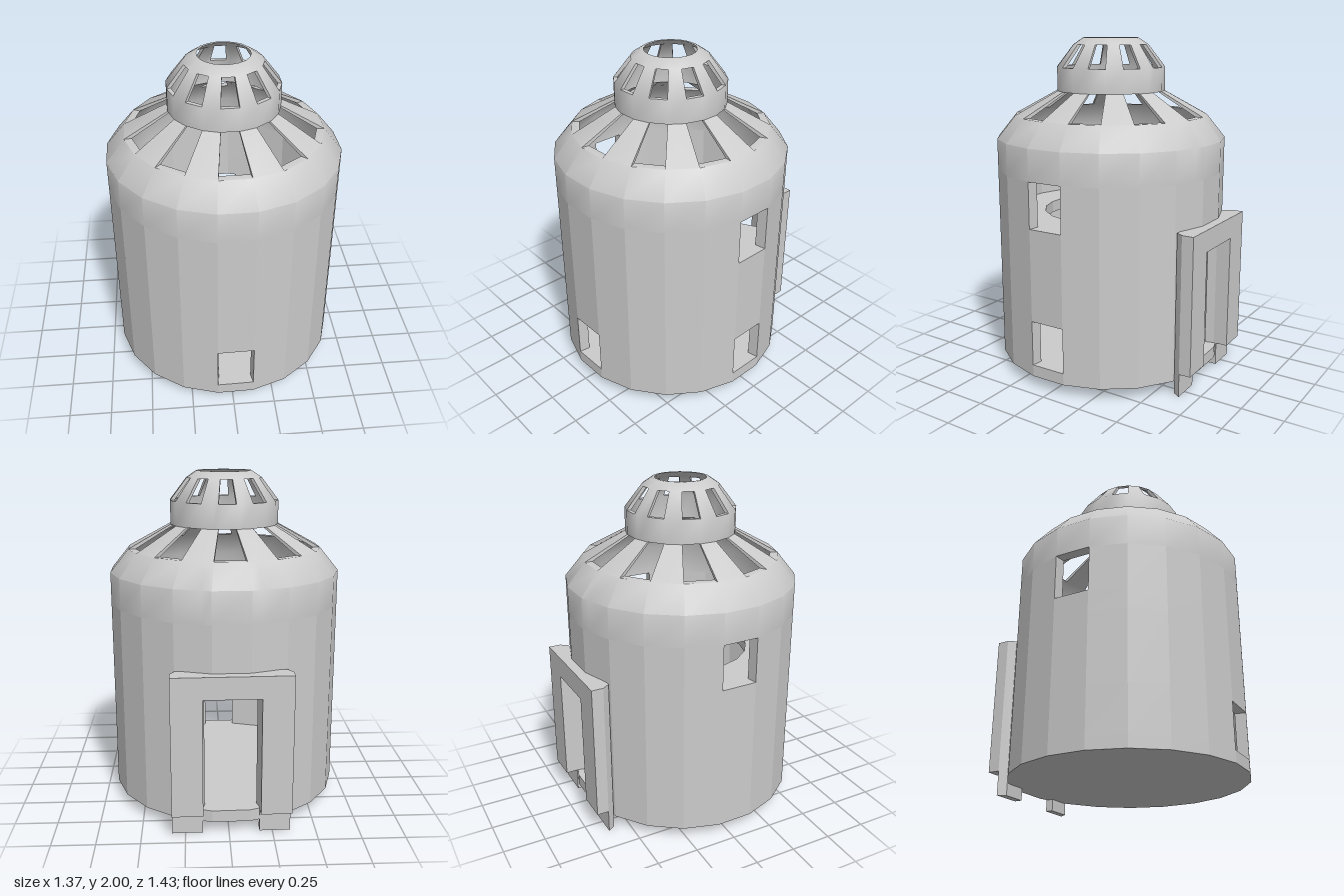
import * as THREE from 'three';
import { toCreasedNormals } from 'three/addons/utils/BufferGeometryUtils.js';

const RAD = Math.PI / 180;
const STEP = 18; // twenty-sided plan
const DOOR = 14; // half angle of the doorway
const material = new THREE.MeshStandardMaterial({ color: 0xcccccc });

function addMesh(parent, name, geometry) {
  const mesh = new THREE.Mesh(geometry, material);
  mesh.name = name;
  parent.add(mesh);
  return mesh;
}

// Point on the twenty-sided plan; azimuth runs from +z towards +x
function planPoint(az, r, y) {
  const panel = Math.round((az + 0.001) / STEP) * STEP;
  const d = r * Math.cos(9 * RAD) / Math.cos((az - panel) * RAD);
  return [d * Math.sin(az * RAD), y, d * Math.cos(az * RAD)];
}

// Panel edges, with extra cuts for the door jambs
const azimuths = [180 - DOOR, 180 + DOOR];
for (let i = 0; i < 20; i++) azimuths.push(9 + i * STEP);
azimuths.sort((a, b) => a - b);

// Thick wall from rows [y, outer radius, inner radius]; open cells become holes
function shell(rows, isOpen, crease) {
  const n = azimuths.length;
  const positions = [];
  const quad = (a, b, c, d) => positions.push(...a, ...b, ...c, ...a, ...c, ...d);
  const edge = (i) => azimuths[i % n] + (i >= n ? 360 : 0);
  const open = (i, j) => {
    if (j < 0 || j > rows.length - 2) return true;
    const k = (i + n) % n;
    const mid = (edge(k) + edge(k + 1)) / 2;
    return isOpen(mid % 360, (rows[j][0] + rows[j + 1][0]) / 2);
  };
  for (let i = 0; i < n; i++) {
    for (let j = 0; j < rows.length - 1; j++) {
      if (open(i, j)) continue;
      const p = (di, dj, side) => planPoint(edge(i + di), rows[j + dj][side], rows[j + dj][0]);
      const o00 = p(0, 0, 1), o10 = p(1, 0, 1), o11 = p(1, 1, 1), o01 = p(0, 1, 1);
      const i00 = p(0, 0, 2), i10 = p(1, 0, 2), i11 = p(1, 1, 2), i01 = p(0, 1, 2);
      quad(o00, o10, o11, o01);
      quad(i10, i00, i01, i11);
      if (open(i, j - 1)) quad(i00, i10, o10, o00);
      if (open(i, j + 1)) quad(o01, o11, i11, i01);
      if (open(i + 1, j)) quad(o10, i10, i11, o11);
      if (open(i - 1, j)) quad(i00, o00, o01, i01);
    }
  }
  const geometry = new THREE.BufferGeometry();
  geometry.setAttribute('position', new THREE.Float32BufferAttribute(positions, 3));
  geometry.computeVertexNormals();
  return crease ? toCreasedNormals(geometry, crease) : geometry;
}

// Upright prism from plan points [x, distance to the back]
function prism(points, y0, y1) {
  const shape = new THREE.Shape(points.map(([x, d]) => new THREE.Vector2(x, d)));
  const geometry = new THREE.ExtrudeGeometry(shape, { depth: y1 - y0, bevelEnabled: false });
  return geometry.rotateX(-Math.PI / 2).translate(0, y0, 0);
}

export function createModel() {
  const model = new THREE.Group();
  model.name = 'tower';
  const tower = new THREE.Group();
  tower.name = 'towerBody';
  tower.position.z = 0.03;
  tower.rotation.y = 0.02;
  model.add(tower);

  // Flat-panelled wall with windows and a doorway
  const R = 0.69, RI = 0.625;
  const near = (a, b) => Math.abs(a - b) < 1;
  const wallOpen = (az, y) => {
    const low = y > 0.14 && y < 0.41;
    const high = y > 0.96 && y < 1.23;
    if (near(az, 0)) return low;
    if (near(az, 90)) return low || high;
    if (near(az, 270)) return high;
    return Math.abs(az - 180) < DOOR && y > 0.14 && y < 0.83;
  };
  addMesh(tower, 'wall', shell([0.07, 0.14, 0.41, 0.83, 0.96, 1.23].map((y) => [y, R, RI]), wallOpen));

  // Shoulder, slotted roof and slotted lantern
  const roofRows = [
    [1.23, R, RI], [1.415, R, RI], [1.55, 0.58, 0.535], [1.69, 0.325, 0.3],
    [1.83, 0.325, 0.3], [1.96, 0.225, 0.2], [2, 0.165, 0.15],
  ];
  const roofOpen = (az, y) => {
    const slotRow = (y > 1.55 && y < 1.69) || (y > 1.83 && y < 1.96);
    return slotRow && Math.round(az / STEP) % 2 === 0;
  };
  addMesh(tower, 'roofAndLantern', shell(roofRows, roofOpen, 0.72));

  // Ground floor and the gallery, which is left open above the door
  const floor = new THREE.CylinderGeometry(0.635, 0.635, 0.07, 20).rotateY(9 * RAD).translate(0, 0.105, 0);
  addMesh(tower, 'groundFloor', toCreasedNormals(floor, 0.1));
  const galleryOpen = (az) => az > 117 && az < 243;
  addMesh(tower, 'gallery', shell([[0.89, 0.63, 0.41], [0.96, 0.63, 0.41]], galleryOpen));

  // Door surround at the back
  const portal = new THREE.Group();
  portal.name = 'doorSurround';
  tower.add(portal);
  const outline = [[0.34, 0.74], [0.34, 0.67], [0.31, 0.625]];
  const mirrored = outline.map(([x, d]) => [-x, d]).reverse();
  addMesh(portal, 'lintel', prism([...outline, ...mirrored], 0.83, 0.96));
  for (const s of [-1, 1]) {
    const side = (points) => points.map(([x, d]) => [s * x, d]);
    addMesh(portal, 'post', prism(side([[0.163, 0.74], ...outline, [0.163, 0.625]]), 0.14, 0.83));
    addMesh(portal, 'foot', prism(side([[0.163, 0.67], [0.34, 0.67], [0.31, 0.625], [0.163, 0.625]]), 0, 0.14));
  }
  return model;
}
